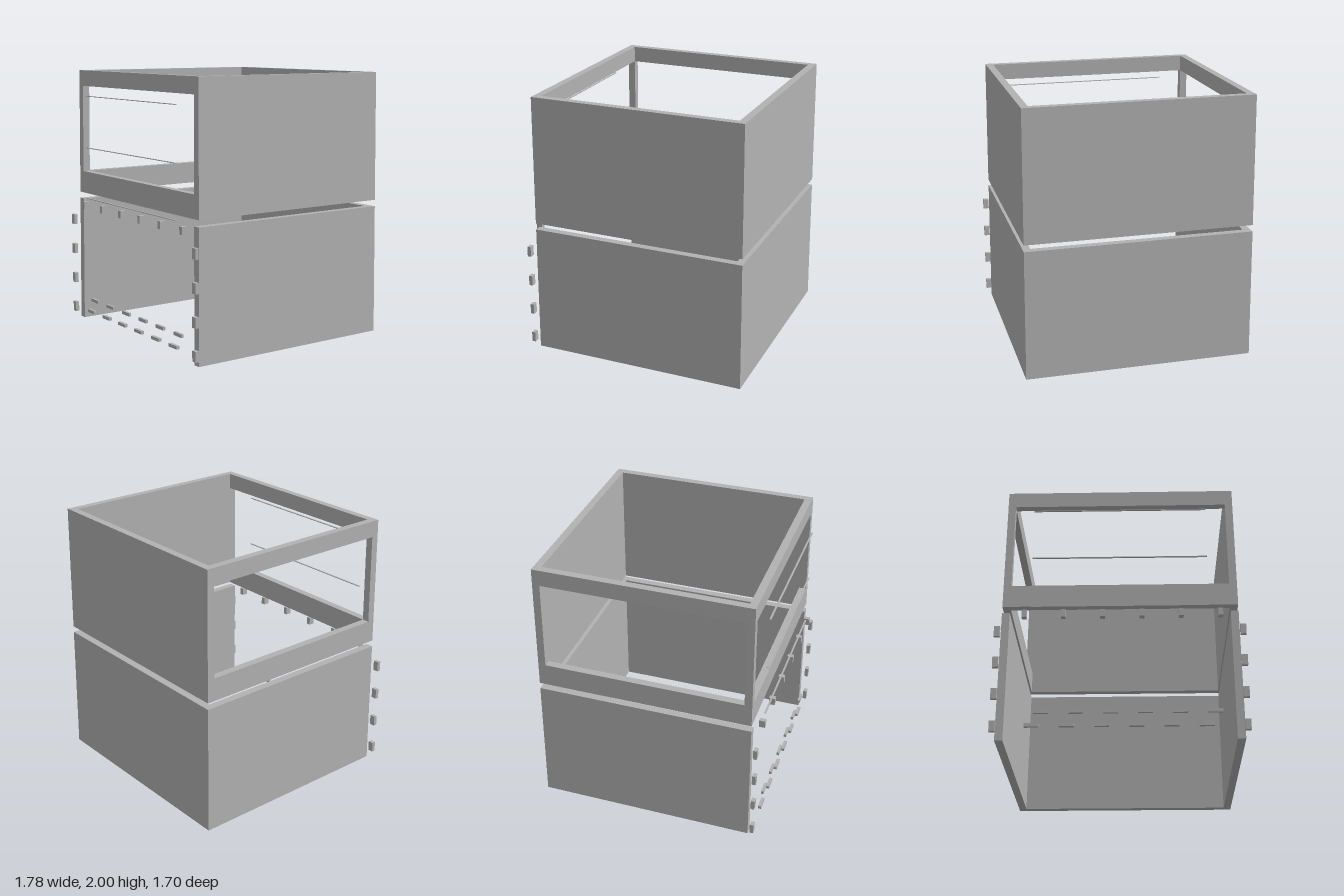
import * as THREE from 'three';

const grey = new THREE.MeshStandardMaterial({ color: 0xb2b2b2 });
grey.name = 'plain grey';

// Footprint at ground level; walls lean inward slightly with height
const X = 0.857, ZF = 0.794, ZB = -0.848, T = 0.057;
const ZC = (ZF + ZB) / 2;

function box(parent, name, x0, x1, y0, y1, z0, z1) {
  const g = new THREE.BoxGeometry(x1 - x0, y1 - y0, z1 - z0);
  g.translate((x0 + x1) / 2, (y0 + y1) / 2, (z0 + z1) / 2);
  const mesh = new THREE.Mesh(g, grey);
  mesh.name = name;
  parent.add(mesh);
  return mesh;
}

function wall(parent, name, ...extent) {
  const mesh = box(parent, name, ...extent);
  const p = mesh.geometry.attributes.position;
  for (let i = 0; i < p.count; i++) {
    const s = 1 - 0.0094 * p.getY(i);
    p.setX(i, p.getX(i) * s);
    p.setZ(i, ZC + (p.getZ(i) - ZC) * s);
  }
  mesh.geometry.computeVertexNormals();
}

function group(parent, name) {
  const g = new THREE.Group();
  g.name = name;
  parent.add(g);
  return g;
}

export function createModel() {
  const model = new THREE.Group();
  model.name = 'twoStoreyShell';

  // Lower storey: three solid walls, open front
  const lower = group(model, 'lowerStorey');
  wall(lower, 'lowerLeftWall', X - T, X, 0, 0.979, ZB, ZF);
  wall(lower, 'lowerRightWall', -X, -X + T, 0, 0.979, ZB, ZF);
  wall(lower, 'lowerBackWall', -X + T, X - T, 0, 0.979, ZB, ZB + T);

  // Upper storey: two solid walls, two window frames
  const upper = group(model, 'upperStorey');
  const y0 = 1.028, y1 = 2, w0 = 1.2, w1 = 1.878;
  wall(upper, 'upperLeftWall', X - T, X, y0, y1, ZB, ZF);
  wall(upper, 'upperBackWall', -X, X - T, y0, y1, ZB, ZB + T);
  wall(upper, 'cornerPost', -X, -X + T, w0, w1, ZF - T, ZF);
  for (const [name, a, b] of [['Sill', y0, w0], ['Lintel', w1, y1]]) {
    wall(upper, 'front' + name, -X, X - T, a, b, ZF - T, ZF);
    wall(upper, 'right' + name, -X, -X + T, a, b, ZB + T, ZF - T);
  }

  // Thin rails in front of the facade
  const rails = group(model, 'frontRails');
  for (const y of [1.002, 1.402, 1.805])
    box(rails, 'rail', -0.64, 0.635, y - 0.0025, y + 0.0025, 0.824, 0.837);

  // Small blocks in front: top row, two staggered low rows, side columns
  const blocks = group(model, 'frontBlocks');
  for (let i = 0; i < 6; i++) {
    const a = -0.683 + i * 0.28, b = -0.542 + i * 0.2395, c = -0.603 + i * 0.2395;
    box(blocks, 'topBlock', a - 0.017, a + 0.017, 0.915, 0.972, 0.803, 0.848);
    box(blocks, 'lowBlock', b - 0.051, b + 0.051, 0.18, 0.205, 0.82, 0.84);
    box(blocks, 'bottomBlock', c - 0.051, c + 0.051, 0.082, 0.106, 0.817, 0.842);
  }
  for (const s of [-1, 1])
    for (let i = 0; i < 4; i++) {
      const x = s * 0.871, y = 0.087 + i * 0.24;
      box(blocks, 'sideBlock', x - 0.021, x + 0.021, y - 0.039, y + 0.039, 0.817, 0.845);
    }

  return model;
}
